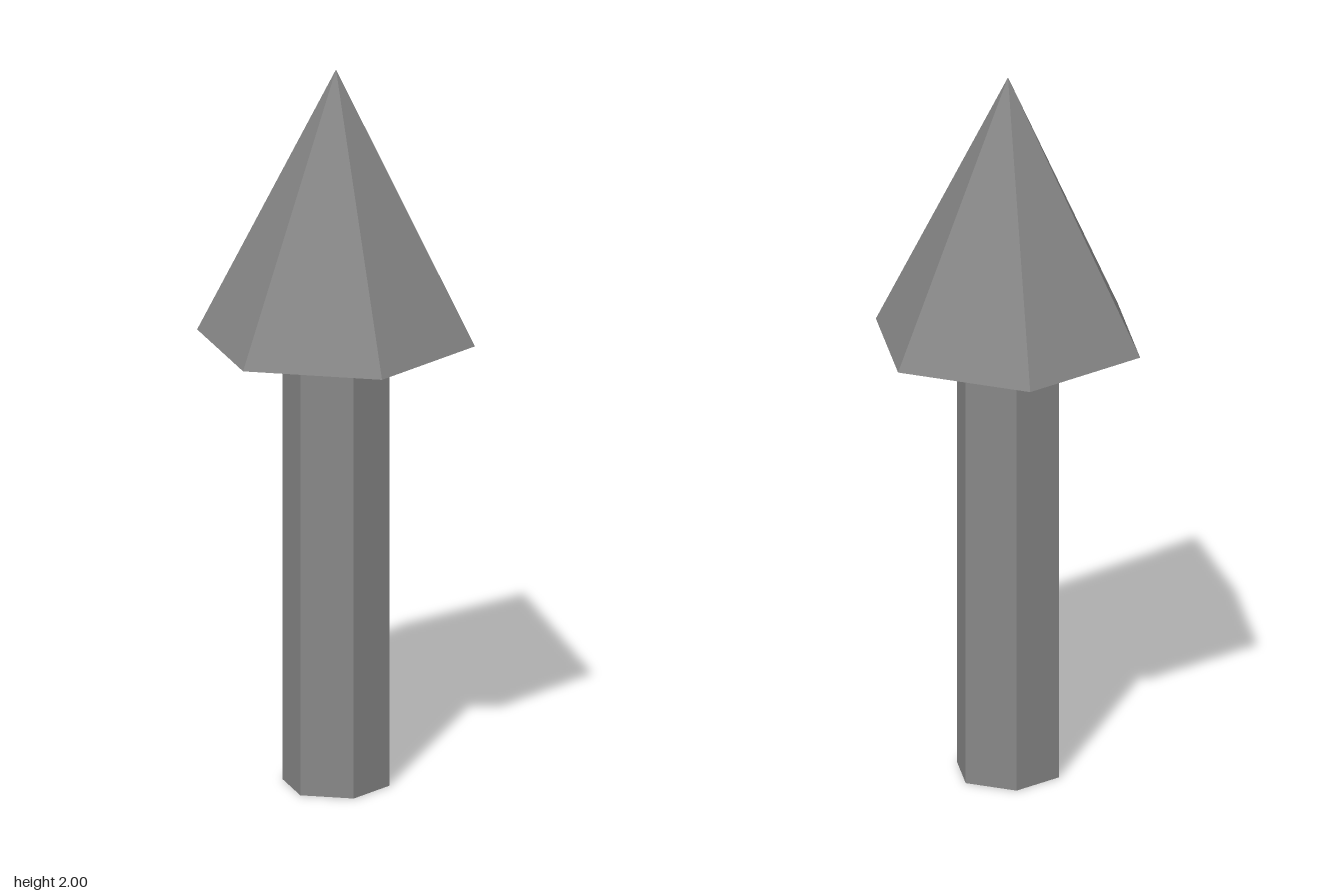
import * as THREE from 'three';

export function createModel() {
  const model = new THREE.Group();
  model.name = 'arrow';
  const material = new THREE.MeshStandardMaterial({ color: 0x878787, flatShading: true });

  const SIDES = 6;
  const CORNER_ON_X = Math.PI / 6; // turns the hexagon so that corners lie on the x axis
  const HEAD_BASE = 1.247;
  const HEIGHT = 2;

  function addPart(name, geometry, bottom, height) {
    const mesh = new THREE.Mesh(geometry, material);
    mesh.name = name;
    mesh.position.y = bottom + height / 2;
    model.add(mesh);
  }

  // Hexagonal shaft
  addPart('shaft',
    new THREE.CylinderGeometry(0.145, 0.145, HEAD_BASE, SIDES, 1, false, CORNER_ON_X),
    0, HEAD_BASE);

  // Six-sided pyramid head, closed underneath
  const headHeight = HEIGHT - HEAD_BASE;
  addPart('head',
    new THREE.ConeGeometry(0.377, headHeight, SIDES, 1, false, CORNER_ON_X),
    HEAD_BASE, headHeight);

  return model;
}
